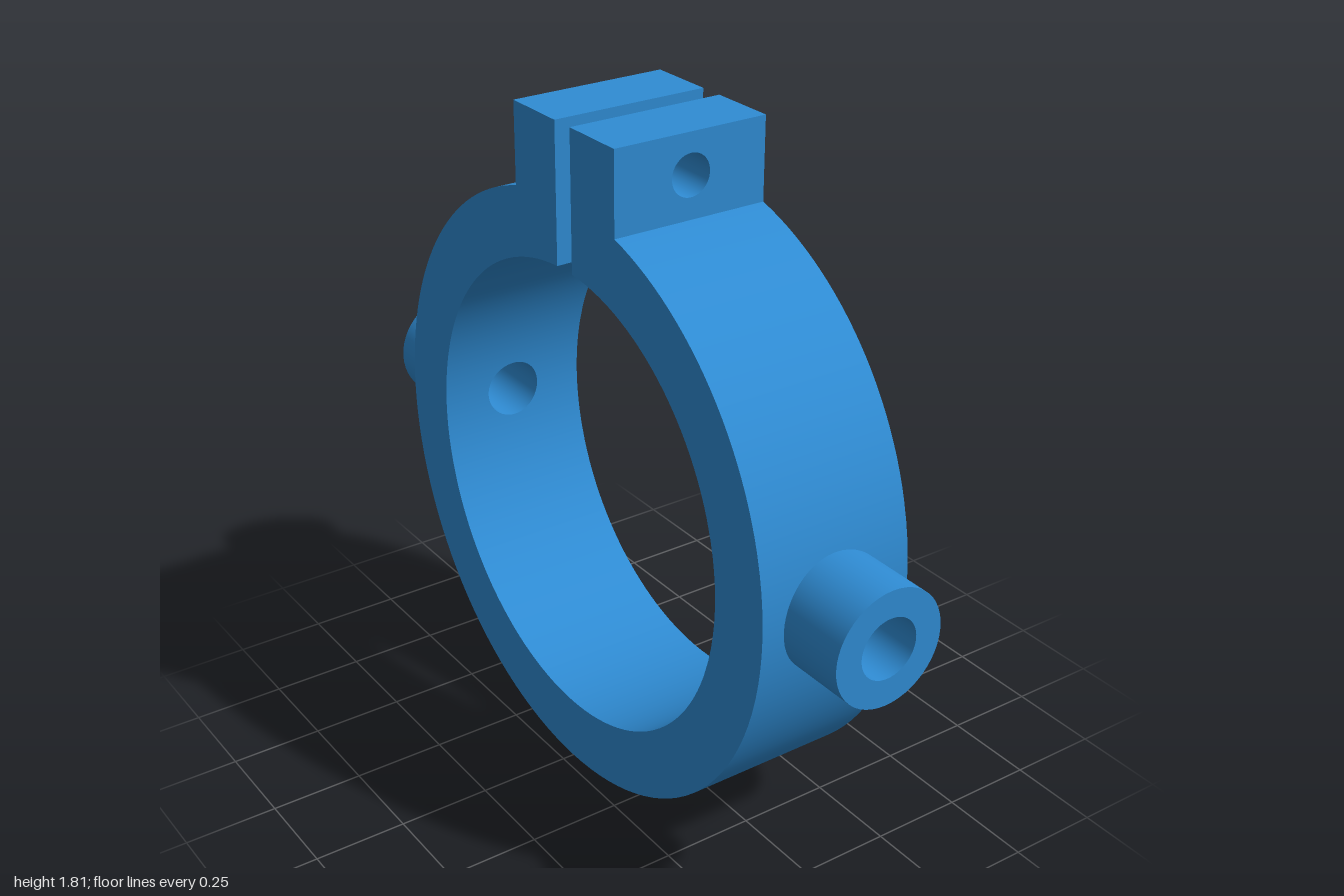
import * as THREE from 'three';
import { mergeGeometries } from 'three/addons/utils/BufferGeometryUtils.js';
import { ParametricGeometry } from 'three/addons/geometries/ParametricGeometry.js';

const W = 0.217;                      // half width of the band
const RO = 0.813, RI = 0.632;         // band radii, also the height of its axis
const BOSS = 0.155, BORE = 0.081;     // boss and bore radii
const GAP = 0.033, LUG = 0.218;       // inner and outer z of a clamping lug
const TOP = 1.002, PIN = 0.895, PIN_R = 0.055; // lug top, pin hole height and radius
const N = 12, AROUND = 4 * N;         // steps per patch side and around a hole
const lerp = THREE.MathUtils.lerp;

// Surface from f(u, v) -> [x, y, z]; flip turns it inside out
function sheet(f, nu, nv, flip = false) {
  return new ParametricGeometry((u, v, p) => p.set(...f(flip ? 1 - u : u, v)), nu, nv);
}

const spread = (t) => W * Math.tan((t - 0.5) * Math.PI / 2);  // -W..W, spaced like rays of a square
const surfaceZ = (r, y) => Math.sqrt(r * r - y * y);

// Part of the cylindrical band between two angles
function wall(r, a0, a1, inside) {
  return sheet((u, v) => {
    const a = lerp(a0, a1, v);
    return [spread(u), r * Math.sin(a), r * Math.cos(a)];
  }, N, 24, inside);
}

// Curved square of the band with a round opening in the middle
function patch(r, hole, inside) {
  return sheet((u, v) => {
    const c = Math.cos(u * 2 * Math.PI), s = Math.sin(u * 2 * Math.PI);
    const d = lerp(W / Math.max(Math.abs(c), Math.abs(s)), hole, v);
    return [d * c, d * s, surfaceZ(r, d * s)];
  }, AROUND, 8, inside);
}

// Round tube wall along z, from z0(y) to z1
function tube(r, z0, z1, inside, cy = 0) {
  return sheet((u, v) => {
    const a = u * 2 * Math.PI, y = r * Math.sin(a);
    return [r * Math.cos(a), cy + y, lerp(z0(y), z1, v)];
  }, AROUND, 1, inside);
}

// Points [z, y] along one half of the band, matching the walls and patch
function arc(r, end) {
  const a = Math.asin(W / r), pts = [];
  const at = (t) => pts.push([r * Math.cos(t), r * Math.sin(t)]);
  for (let i = 0; i < 24; i++) at(lerp(-Math.PI / 2, -a, i / 24));
  for (let i = 0; i < N; i++) at(Math.asin(spread(i / N) / r));
  for (let i = 0; i <= 24; i++) at(lerp(a, end, i / 24));
  return pts;
}

// Flat lug face with its pin hole
function lugFace(y0) {
  const s = new THREE.Shape();
  s.moveTo(-W, y0).lineTo(W, y0).lineTo(W, TOP).lineTo(-W, TOP).closePath();
  s.holes.push(new THREE.Path().absarc(0, PIN, PIN_R, 0, Math.PI * 2, true));
  return new THREE.ShapeGeometry(s, AROUND / 2);
}

function halfClamp() {
  const endO = Math.acos(LUG / RO), endI = Math.acos(GAP / RI);
  const parts = [];

  // Outer and inner walls with openings for the boss
  for (const [r, end, hole, inside] of [[RO, endO, BOSS, false], [RI, endI, BORE, true]]) {
    const a = Math.asin(W / r);
    parts.push(wall(r, -Math.PI / 2, -a, inside), patch(r, hole, inside), wall(r, a, end, inside));
  }

  // Flat sides of band and lug
  const outline = [...arc(RO, endO), [LUG, TOP], [GAP, TOP], ...arc(RI, endI).reverse()];
  for (const s of [-1, 1]) {
    const shape = new THREE.Shape(outline.map(([z, y]) => new THREE.Vector2(-s * z, y)));
    parts.push(new THREE.ShapeGeometry(shape).rotateY(s * Math.PI / 2).translate(s * W, 0, 0));
  }

  // Lug: outer face, gap face, top and pin hole
  parts.push(
    lugFace(surfaceZ(RO, LUG)).translate(0, 0, LUG),
    lugFace(surfaceZ(RI, GAP)).rotateY(Math.PI).translate(0, 0, GAP),
    new THREE.PlaneGeometry(2 * W, LUG - GAP).rotateX(-Math.PI / 2).translate(0, TOP, (LUG + GAP) / 2),
    tube(PIN_R, () => GAP, LUG, true, PIN),
  );
  return mergeGeometries(parts);
}

export function createModel() {
  const blue = new THREE.MeshStandardMaterial({ color: 0x2f8cd4 });
  blue.name = 'blue';
  const model = new THREE.Group();
  model.name = 'pipeClamp';

  const add = (name, geometry) => {
    const mesh = new THREE.Mesh(geometry.translate(0, RO, 0), blue);
    mesh.name = name;
    model.add(mesh);
  };

  // Split band with its two lugs
  const half = halfClamp();
  add('clampBand', mergeGeometries([half, half.clone().rotateY(Math.PI)]));

  // Hollow pivot bosses, front and back
  const boss = mergeGeometries([
    tube(BOSS, (y) => surfaceZ(RO, y), 1, false),
    tube(BORE, (y) => surfaceZ(RI, y), 1, true),
    new THREE.RingGeometry(BORE, BOSS, AROUND).translate(0, 0, 1),
  ]);
  add('backBoss', boss.clone().rotateY(Math.PI));
  add('frontBoss', boss);
  return model;
}
